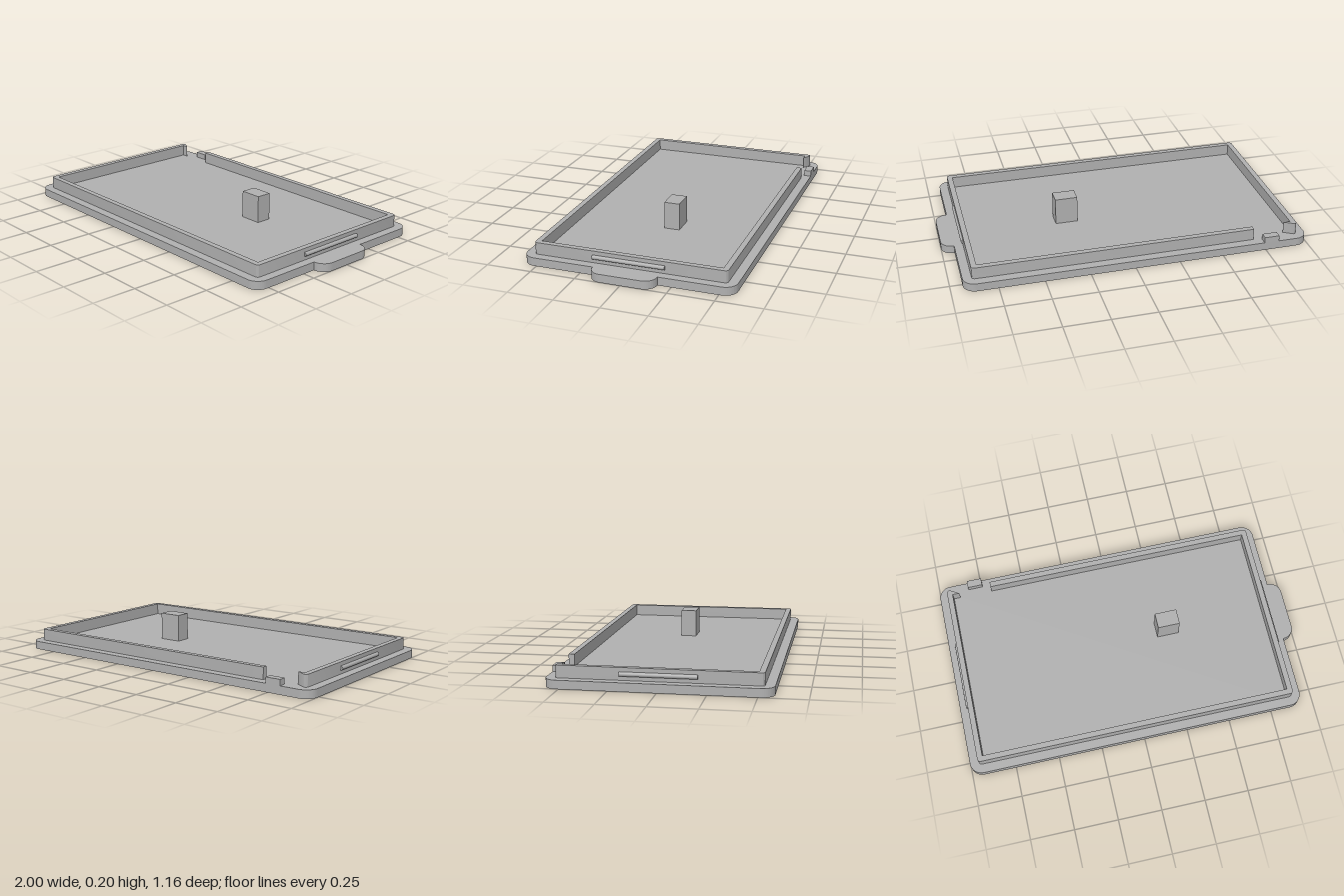
import * as THREE from 'three';
import { toCreasedNormals } from 'three/addons/utils/BufferGeometryUtils.js';

const BASE = 0.046, WALL_TOP = 0.112;

export function createModel() {
  const group = new THREE.Group();
  const grey = new THREE.MeshStandardMaterial({ color: 0xb0b0b0 });
  grey.name = 'grey plastic';

  const add = (name, geometry) => {
    const mesh = new THREE.Mesh(geometry, grey);
    mesh.name = name;
    group.add(mesh);
    return mesh;
  };

  // Plan outline (x, -z) extruded upwards from y0 to y1
  const slab = (name, shape, y0, y1) => {
    const g = new THREE.ExtrudeGeometry(shape, { depth: y1 - y0, bevelEnabled: false, curveSegments: 10 });
    g.rotateX(-Math.PI / 2).translate(0, y0, 0);
    return add(name, toCreasedNormals(g, 0.6));
  };

  // Box given by its limits
  const block = (name, x0, x1, y0, y1, z0, z1) => {
    const g = new THREE.BoxGeometry(x1 - x0, y1 - y0, z1 - z0);
    g.translate((x0 + x1) / 2, (y0 + y1) / 2, (z0 + z1) / 2);
    return add(name, g);
  };

  // Quarter-circle corner, counter-clockwise from quadrant q
  const corner = (s, x, y, r, q) => s.absarc(x, y, r, q * Math.PI / 2, (q + 1) * Math.PI / 2, false);

  // Base plate with rounded corners and a finger tab on its left end
  const L = -1, R = 0.932, D = 0.581, r = 0.068, tab = 0.177, tr = 0.064;
  const plate = new THREE.Shape();
  plate.moveTo(L + r, -D);
  corner(plate, R - r, -D + r, r, 3);
  plate.lineTo(R, -tab);
  corner(plate, 1 - tr, -tab + tr, tr, 3);
  corner(plate, 1 - tr, tab - tr, tr, 0);
  plate.lineTo(R, tab);
  corner(plate, R - r, D - r, r, 0);
  corner(plate, L + r, D - r, r, 1);
  corner(plate, L + r, -D + r, r, 2);
  slab('basePlate', plate, 0, BASE);

  // Raised rim, open at a notch in the back wall
  const wl = -0.95, wr = 0.883, wd = 0.531, t = 0.031, wc = 0.018;
  const n0 = -0.88, n1 = -0.692;
  const rim = new THREE.Shape();
  rim.moveTo(n0, wd);
  corner(rim, wl + wc, wd - wc, wc, 1);
  corner(rim, wl + wc, -wd + wc, wc, 2);
  corner(rim, wr - wc, -wd + wc, wc, 3);
  corner(rim, wr - wc, wd - wc, wc, 0);
  rim.lineTo(n1, wd);
  rim.lineTo(n1, wd - t);
  rim.lineTo(wr - t, wd - t);
  rim.lineTo(wr - t, -wd + t);
  rim.lineTo(wl + t, -wd + t);
  rim.lineTo(wl + t, wd - t);
  rim.lineTo(n0, wd - t);
  slab('rim', rim, BASE, WALL_TOP);

  // Snap ridges along both end walls
  for (const [name, x] of [['leftSnapRidge', wr], ['rightSnapRidge', wl]]) {
    const g = new THREE.CylinderGeometry(0.012, 0.012, 0.398, 16).rotateX(Math.PI / 2);
    add(name, g).position.set(x, 0.078, 0);
  }

  // Standing post and the small stop beside the notch
  block('post', 0.21, 0.337, BASE, 0.2, -0.083, 0.005);
  block('backStop', -0.825, -0.74, BASE, 0.079, -D, -0.539);

  return group;
}
